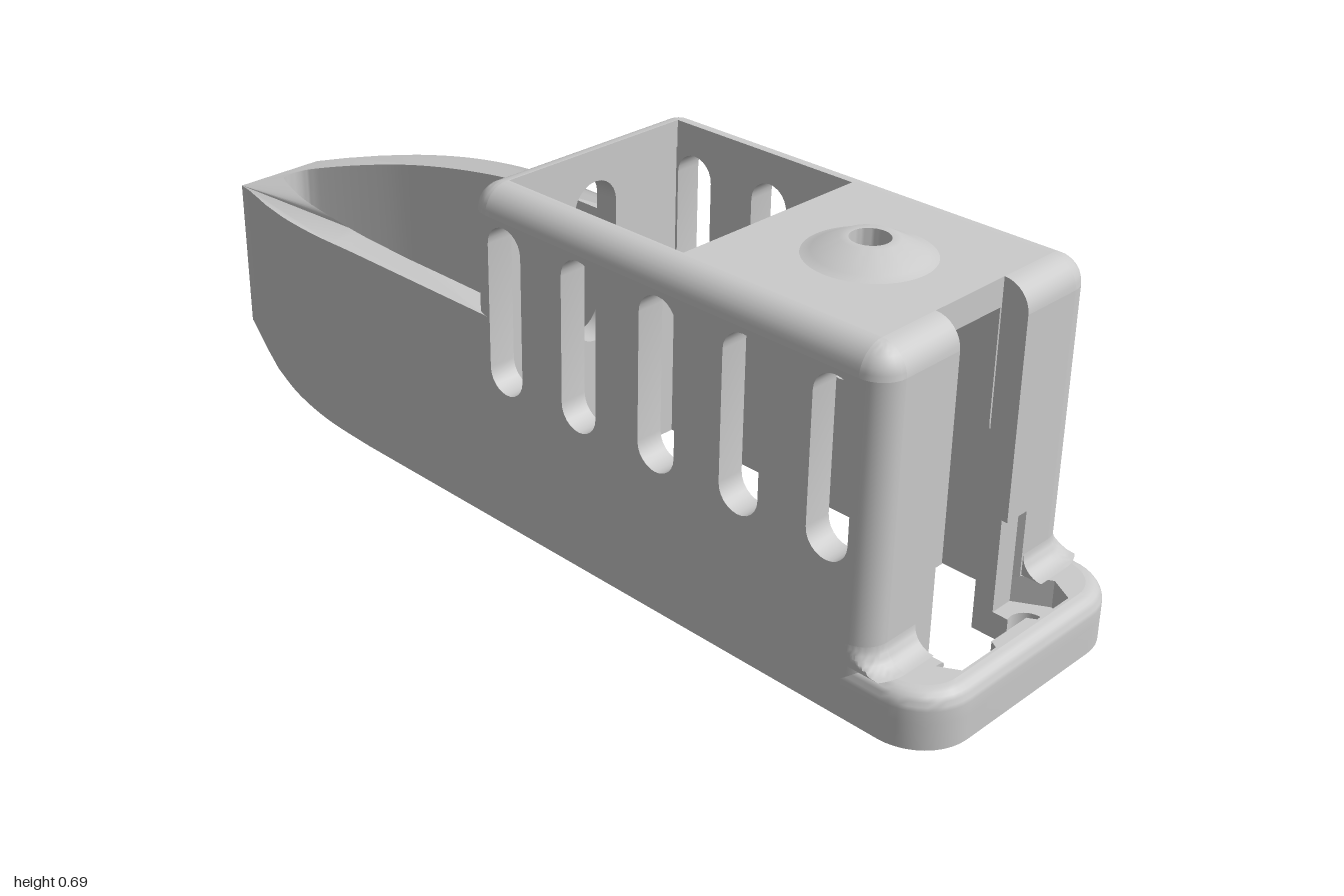
import * as THREE from 'three';
import { toCreasedNormals } from 'three/addons/utils/BufferGeometryUtils.js';

const W = 0.265, IN = 0.21, R = 0.05;        // half width, inner half width, edge radius
const ZB = -0.01, ZF = 0.82, YT = 0.61;      // cabin core limits, before rounded edges
const HALF = Math.PI / 2;

export function createModel() {
  const model = new THREE.Group();
  const mat = new THREE.MeshStandardMaterial({ color: 0xcccccc, side: THREE.DoubleSide });

  const add = (name, geo, parent = model) => {
    const mesh = new THREE.Mesh(toCreasedNormals(geo, 0.6), mat);
    mesh.name = name;
    parent.add(mesh);
    return mesh;
  };
  const vec = (pts) => pts.map(([a, b]) => new THREE.Vector2(a, b));
  const rect = (a0, b0, a1, b1) => [[a0, b0], [a1, b0], [a1, b1], [a0, b1]];
  const arc = (ca, cb, r, t0, t1, n = 12) => Array.from({ length: n + 1 }, (_, i) => {
    const t = t0 + (t1 - t0) * i / n;
    return [ca + r * Math.cos(t), cb + r * Math.sin(t)];
  });
  const pie = (ca, cb, t0) => [[ca, cb], ...arc(ca, cb, R, t0, t0 + HALF, 8)];
  const slot = (c, hw, y0, y1) => [...arc(c, y1 - hw, hw, 0, Math.PI), ...arc(c, y0 + hw, hw, Math.PI, 2 * Math.PI)];
  const hexagon = (x, z) => arc(x, z, 0.07, 0, Math.PI * 5 / 3, 5);
  const flip = (pts, s) => pts.map(([a, b]) => [a * s, b]);

  // Extrusion of an outline between two limits, along x, y or z
  const extrude = (pts, from, to, axis, holes = []) => {
    const prep = (p) => vec(axis === 'y' ? p.map(([x, z]) => [x, -z]) : p);
    const shape = new THREE.Shape(prep(pts));
    shape.holes = holes.map((h) => new THREE.Path(prep(h)));
    const g = new THREE.ExtrudeGeometry(shape, { depth: to - from, bevelEnabled: false });
    if (axis === 'y') g.rotateX(-HALF).translate(0, from, 0);
    else if (axis === 'x') g.rotateY(-HALF).translate(to, 0, 0);
    else g.translate(0, 0, from);
    return g;
  };

  // Bow: U-shaped wall whose top edge falls towards the tip
  const curve = (pts) => new THREE.SplineCurve(vec(pts)).getPoints(28).map((p) => [p.x, p.y]);
  const outer = [[W, ZB], ...curve([[W, -0.38], [0.258, -0.52], [0.235, -0.65], [0.198, -0.77]]),
    [0.165, -0.85], [0.13, -0.93], [0.1, -1]];
  const inner = [[IN, ZB], [IN, -0.2], ...curve([[IN, -0.3], [0.2, -0.44], [0.177, -0.57], [0.14, -0.71],
    [0.095, -0.82], [0.045, -0.92], [0.025, -0.945], [0, -0.952]])];
  const bowPts = [...outer, ...flip(outer, -1).reverse(), ...flip(inner, -1), ...inner.slice(0, -1).reverse()];
  const bow = extrude(bowPts, 0, 1, 'y');
  const bp = bow.attributes.position;
  for (let i = 0; i < bp.count; i++) {
    const t = Math.max(0, (-bp.getZ(i) - 0.2) / 0.8);
    if (bp.getY(i) > 0.5) bp.setY(i, 0.415 - 0.095 * t ** 2.5);
  }
  add('bowHull', bow);

  // Rear deck with nut pockets, and the lower wall they bite into
  const deck = rect(-IN, -0.19, IN, ZB);
  add('deckBase', extrude(deck, 0, 0.05, 'y', [-0.1, 0.1].map((x) => arc(x, -0.11, 0.033, 0, Math.PI * 1.95, 24))));
  add('deckPockets', extrude(deck, 0.05, 0.1, 'y', [-0.1, 0.1].map((x) => hexagon(x, -0.11))));
  add('backWallLower', extrude([[-IN, ZB], [-IN, -0.06], [-0.141, -0.06], [-0.135, -0.049], [-0.065, -0.049],
    [-0.059, -0.06], [0.059, -0.06], [0.065, -0.049], [0.135, -0.049], [0.141, -0.06], [IN, -0.06], [IN, ZB]],
  0.1, 0.23, 'y'));
  add('backWall', extrude(rect(-0.215, 0.23, 0.215, YT), -0.06, ZB, 'z', [slot(0, 0.052, 0.275, 0.597)]));
  add('backRoofEdge', extrude(pie(ZB, YT, HALF), -0.215, 0.215, 'x'));

  // Roof with hatch and bolt hole, and the raised boss
  add('roof', extrude(rect(-0.215, ZB, 0.215, ZF), 0.607, 0.66, 'y',
    [rect(-IN, ZB + 0.002, IN, 0.41), arc(0, 0.62, 0.035, 0, Math.PI * 1.95, 31)]));
  const boss = new THREE.LatheGeometry(vec([[0.035, 0.607], [0.035, 0.69], [0.05, 0.69], [0.095, 0.665], [0.112, 0.66]]), 40);
  add('roofBoss', boss.translate(0, 0, 0.62));

  // Front foot outline, inset by d, for the +x half
  const footEdge = (d) => [[W - d, ZF], ...arc(0.165, 0.9, 0.1 - d, 0, HALF, 10), [0, 1 - d]];

  for (const s of [1, -1]) {
    const side = s > 0 ? 'left' : 'right';
    const span = (a, b) => (s > 0 ? [a, b] : [-b, -a]);

    // Side wall with five windows and its rounded top edge
    const windows = [0, 1, 2, 3, 4].map((i) => slot(0.037 + i * 0.185, 0.042, 0.275, 0.6));
    add(side + 'SideWall', extrude(rect(ZB, 0, ZF, YT), ...span(IN, W), 'x', windows));
    add(side + 'RoofEdge', extrude(flip(pie(0.215, YT, 0), s), ZB, ZF, 'z'));

    // Front wall half beside the tall opening
    add(side + 'FrontWall', extrude(rect(ZF, 0.23, 0.87, YT), ...span(0.087, 0.215), 'x'));
    add(side + 'FrontWallLower', extrude(flip([[0.087, ZF], [0.215, ZF], [0.215, 0.87], [0.141, 0.87],
      [0.135, 0.859], [0.087, 0.859]], s), 0.1, 0.23, 'y'));
    add(side + 'FrontRoofEdge', extrude(pie(ZF, YT, 0), ...span(0.087, 0.215), 'x'));

    // Foot: base with screw hole, nut pocket layer, rounded rim
    add(side + 'FootBase', extrude(flip([...footEdge(0), [0, 0.95], [0.087, 0.95],
      ...arc(0.1, 0.92, 0.033, 1.97, -1.97, 20), [0.087, 0.89], [0.087, ZF]], s), 0, 0.05, 'y'));
    add(side + 'FootPockets', extrude(flip([...footEdge(0.03), [0, 0.95], [0.047, 0.95], [0.056, 0.965],
      [0.144, 0.965], [0.17, 0.92], [0.135, 0.859], [0.087, 0.859], [0.087, ZF]], s), 0.05, 0.103, 'y'));
    const rings = [[0, 0.05], ...arc(0.03, 0.073, 0.03, Math.PI, HALF, 6)];
    const pos = [], idx = [], n = footEdge(0).length;
    rings.forEach(([d, y], j) => footEdge(d).forEach(([x, z], i) => {
      pos.push(x * s, y, z);
      if (j && i) {
        const a = j * n + i, b = a - n;
        if (s > 0) idx.push(b - 1, a - 1, a, b - 1, a, b);
        else idx.push(b - 1, a, a - 1, b - 1, b, a);
      }
    }));
    const rim = new THREE.BufferGeometry();
    rim.setAttribute('position', new THREE.Float32BufferAttribute(pos, 3));
    rim.setIndex(idx);
    add(side + 'FootRim', rim);

    // Concave fillet between foot and front wall, wrapped round the corner
    const hollow = arc(0.91, 0.143, 0.04, -HALF, -Math.PI, 8);
    add(side + 'FootFillet', extrude([[0.87, 0.103], ...hollow], ...span(0.145, 0.215), 'x'));
    const wrap = new THREE.LatheGeometry(vec(hollow.map(([z, y]) => [z - ZF, y])), 16, 0, HALF);
    const wp = wrap.attributes.position;
    for (let i = 0; i < wp.count; i++) wp.setX(i, Math.min(wp.getX(i), R));
    add(side + 'CornerFillet', wrap.translate(0.215, 0, ZF)).scale.x = s;

    // Rounded vertical corners with spherical tops
    for (const [end, z, sz, y0] of [['Front', ZF, 1, 0.05], ['Back', ZB, -1, 0.3]]) {
      const corner = new THREE.Group();
      corner.name = side + end + 'Corner';
      corner.position.set(0.215 * s, 0, z);
      corner.scale.set(s, 1, sz);
      add('cornerPost', extrude(pie(0, 0, 0), y0, YT, 'y'), corner);
      add('cornerTop', new THREE.SphereGeometry(R, 8, 8, HALF, HALF, 0, HALF).translate(0, YT, 0), corner);
      model.add(corner);
    }
  }
  return model;
}
